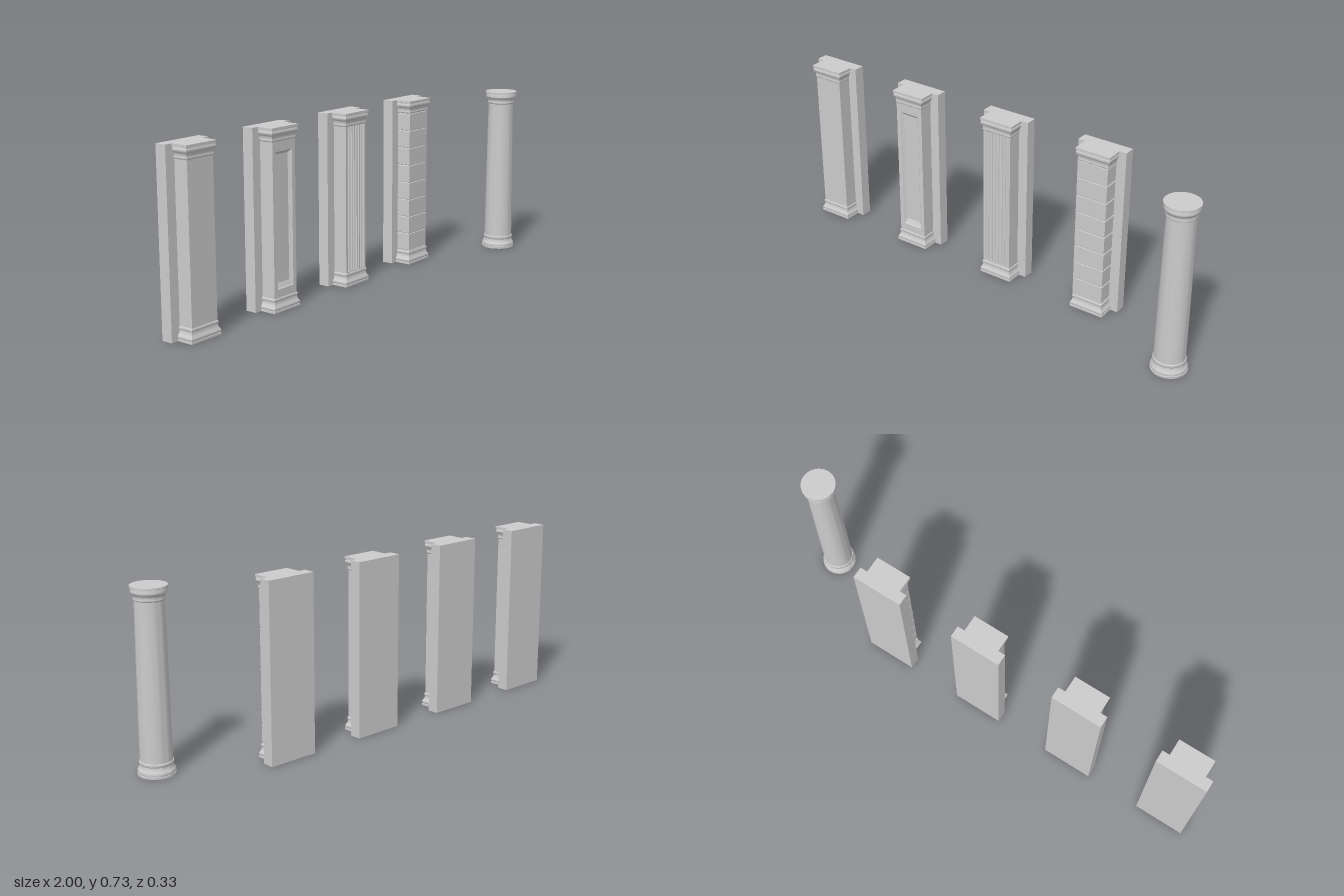
import * as THREE from 'three';
import { toCreasedNormals } from 'three/addons/utils/BufferGeometryUtils.js';

const HEIGHT = 0.727, BACK = -0.163, WALL = -0.115, FRONT = -0.053, HALF = 0.066;
const SHAFT_LOW = 0.06, SHAFT_HIGH = 0.672;
const material = new THREE.MeshStandardMaterial({ color: 0xcccccc });

// Moulding profiles: [projection beyond the shaft, height]
const baseProfile = [
  [0.011, 0], [0.011, 0.008], [0.0085, 0.009], [0.0105, 0.014], [0.0105, 0.018], [0.008, 0.023],
  [0.006, 0.026], [0.0025, 0.033], [0.001, 0.042], [0.003, 0.044], [0.004, 0.049], [0.003, 0.054], [0, 0.056], [0, SHAFT_LOW],
];
const capProfile = [
  [0, SHAFT_HIGH], [0.002, 0.674], [0.003, 0.678], [0.002, 0.682], [0.002, 0.687], [0.004, 0.694],
  [0.008, 0.700], [0.0095, 0.704], [0.0095, 0.709], [0.007, 0.714], [0.007, 0.717], [0.011, 0.718], [0.011, HEIGHT],
];

function add(group, name, geometry) {
  const mesh = new THREE.Mesh(geometry, material);
  mesh.name = name;
  group.add(mesh);
  return mesh;
}

function box(group, name, x0, x1, y0, y1, z0, z1) {
  const mesh = add(group, name, new THREE.BoxGeometry(x1 - x0, y1 - y0, z1 - z0));
  mesh.position.set((x0 + x1) / 2, (y0 + y1) / 2, (z0 + z1) / 2);
}

// Faceted skin through four-cornered rings
function loft(rings, startCap = true) {
  const out = [];
  const quad = (a, b, c, d) => out.push(...a, ...b, ...c, ...a, ...c, ...d);
  for (let k = 0; k + 1 < rings.length; k++) {
    const a = rings[k], b = rings[k + 1];
    for (let i = 0; i < 4; i++) {
      const j = (i + 1) % 4;
      quad(a[i], a[j], b[j], b[i]);
    }
  }
  quad(...rings[rings.length - 1]);
  if (startCap) quad(...[...rings[0]].reverse());
  const geometry = new THREE.BufferGeometry();
  geometry.setAttribute('position', new THREE.Float32BufferAttribute(out, 3));
  geometry.computeVertexNormals();
  return geometry;
}

// Rectangular moulding mitred around the front and sides
function moulding(profile) {
  return loft(profile.map(([o, y]) => {
    const x = HALF + o, z = FRONT + o * 0.8;
    return [[x, y, z], [x, y, WALL], [-x, y, WALL], [-x, y, z]];
  }));
}

function plainShaft(group) {
  box(group, 'shaft', -HALF, HALF, SHAFT_LOW, SHAFT_HIGH, WALL, FRONT);
}

function panelledShaft(group) {
  const rect = (x, y0, y1) => [[-x, y0], [x, y0], [x, y1], [-x, y1]];
  const path = (points) => points.map(([x, y]) => new THREE.Vector2(x, y));
  const opening = rect(0.047, 0.09, 0.632);
  const shape = new THREE.Shape(path(rect(HALF, SHAFT_LOW, SHAFT_HIGH)));
  shape.holes.push(new THREE.Path(path(opening)));
  const frame = new THREE.ExtrudeGeometry(shape, { depth: FRONT - WALL, bevelEnabled: false });
  add(group, 'panelFrame', frame.translate(0, 0, WALL));
  // Sloped surround and sunken field
  const at = (points, z) => points.map(([x, y]) => [x, y, z]);
  const recess = loft([
    at(opening, FRONT), at(rect(0.044, 0.093, 0.629), FRONT - 0.004),
    at(rect(0.036, 0.113, 0.62), FRONT - 0.012),
  ], false);
  add(group, 'sunkenPanel', recess);
}

function flutedShaft(group) {
  const count = 7, pitch = 0.0165, radius = 0.0062;
  const shape = new THREE.Shape();
  shape.moveTo(-HALF, -WALL);
  shape.lineTo(-HALF, -FRONT);
  for (let i = 0; i < count; i++) {
    const x = (i - (count - 1) / 2) * pitch;
    shape.lineTo(x - radius, -FRONT);
    shape.absarc(x, -FRONT, radius, Math.PI, 0, true);
  }
  shape.lineTo(HALF, -FRONT);
  shape.lineTo(HALF, -WALL);
  shape.closePath();
  const geometry = new THREE.ExtrudeGeometry(shape, {
    depth: SHAFT_HIGH - SHAFT_LOW, bevelEnabled: false, curveSegments: 8,
  });
  geometry.rotateX(-Math.PI / 2).translate(0, SHAFT_LOW, 0);
  add(group, 'flutedShaft', toCreasedNormals(geometry, 0.6));
}

function blockShaft(group) {
  const count = 8, gap = 0.003, chamfer = 0.0015;
  const pitch = (SHAFT_HIGH - SHAFT_LOW) / count;
  const inset = 0.004;
  box(group, 'jointCore', -HALF + inset, HALF - inset, SHAFT_LOW, SHAFT_HIGH, WALL, FRONT - inset);
  for (let i = 0; i < count; i++) {
    const y0 = SHAFT_LOW + i * pitch + gap / 2, y1 = y0 + pitch - gap;
    add(group, 'stoneBlock', moulding([
      [-chamfer, y0], [0, y0 + chamfer], [0, y1 - chamfer], [-chamfer, y1],
    ]));
  }
}

// Wall strip with an engaged pilaster
function createPilaster(name, x, buildShaft) {
  const group = new THREE.Group();
  group.name = name;
  box(group, 'wall', -0.108, 0.108, 0, HEIGHT, BACK, WALL);
  add(group, 'base', moulding(baseProfile));
  add(group, 'capital', moulding(capProfile));
  buildShaft(group);
  group.position.x = x;
  return group;
}

// Free-standing tapered round column
function createColumn() {
  const group = new THREE.Group();
  group.name = 'roundColumn';
  const low = 0.062, high = 0.056;
  const shaft = [];
  for (let i = 0; i <= 8; i++) {
    const t = i / 8;
    const r = low - (low - high) * Math.pow(t, 1.4);
    shaft.push([r, THREE.MathUtils.lerp(SHAFT_LOW, SHAFT_HIGH, t)]);
  }
  const capScale = 1.3;
  const parts = {
    base: [[0, 0], ...baseProfile.map(([o, y]) => [low + o, y])],
    shaft,
    capital: [...capProfile.map(([o, y]) => [high + o * capScale, y]), [0, HEIGHT]],
  };
  for (const [name, points] of Object.entries(parts)) {
    const lathe = new THREE.LatheGeometry(points.map(([r, y]) => new THREE.Vector2(r, y)), 48);
    add(group, name, toCreasedNormals(lathe, 0.6));
  }
  group.position.set(0.927, 0, 0.09);
  return group;
}

export function createModel() {
  const model = new THREE.Group();
  model.name = 'columnSet';
  const pilasters = [
    ['plainPilaster', plainShaft], ['panelledPilaster', panelledShaft],
    ['flutedPilaster', flutedShaft], ['blockPilaster', blockShaft],
  ];
  pilasters.forEach(([name, build], i) => model.add(createPilaster(name, -0.892 + i * 0.4535, build)));
  model.add(createColumn());
  return model;
}
